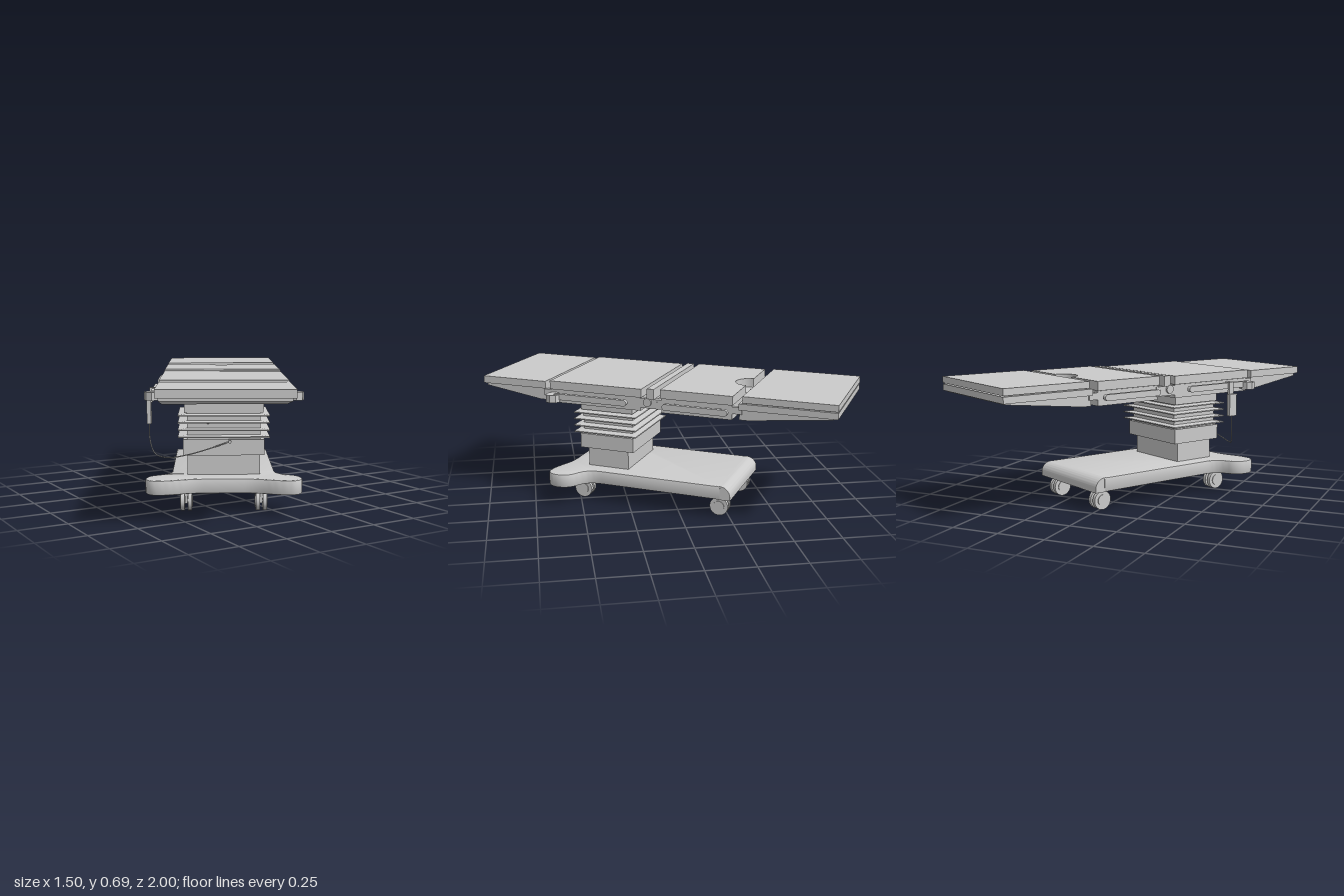
import * as THREE from 'three';
import { toCreasedNormals } from 'three/addons/utils/BufferGeometryUtils.js';

export function createModel() {
  const model = new THREE.Group();
  model.name = 'operatingTable';
  const table = new THREE.Group();
  table.name = 'turnedTable';
  table.rotation.y = -0.513;
  model.add(table);

  const mat = new THREE.MeshStandardMaterial({ color: 0xcccccc });
  const flat = new THREE.MeshStandardMaterial({ color: 0xcccccc, flatShading: true });

  const add = (name, geo, material = mat, parent = table) => {
    const m = new THREE.Mesh(geo, material);
    m.name = name;
    parent.add(m);
    return m;
  };
  // Box given by its limits on each axis
  const box = (name, x0, x1, y0, y1, z0, z1) => {
    const g = new THREE.BoxGeometry(x1 - x0, y1 - y0, z1 - z0);
    g.translate((x0 + x1) / 2, (y0 + y1) / 2, (z0 + z1) / 2);
    return add(name, g);
  };
  // Plan outline (x, z) extruded between two heights
  const slab = (name, shape, y0, y1, bevel = 0) => {
    const g = new THREE.ExtrudeGeometry(shape, {
      depth: y1 - y0 - 2 * bevel, bevelEnabled: bevel > 0, bevelSize: bevel,
      bevelThickness: bevel, bevelOffset: -bevel, bevelSegments: 2, curveSegments: 12,
    });
    g.rotateX(Math.PI / 2);
    g.translate(0, y1 - bevel, 0);
    return add(name, toCreasedNormals(g, 0.6));
  };
  // Side outline (z, y) extruded across the width
  const across = (name, shape, halfWidth) => {
    const g = new THREE.ExtrudeGeometry(shape, { depth: 2 * halfWidth, bevelEnabled: false, curveSegments: 10 });
    g.translate(0, 0, -halfWidth);
    g.rotateY(-Math.PI / 2);
    return add(name, toCreasedNormals(g, 0.6));
  };
  const polygon = (pts) => new THREE.Shape(pts.map(([x, y]) => new THREE.Vector2(x, y)));
  const rod = (name, r, length, x, y, z, sides = 16) => {
    const g = new THREE.CylinderGeometry(r, r, length, sides);
    g.rotateZ(Math.PI / 2);
    g.translate(x, y, z);
    return add(name, toCreasedNormals(g, 0.6));
  };

  // Base: body with two splayed legs and a rolled far end
  const plan = new THREE.Shape();
  plan.moveTo(-0.265, -0.37);
  plan.lineTo(0.265, -0.37);
  plan.lineTo(0.265, 0.3);
  plan.bezierCurveTo(0.265, 0.38, 0.3, 0.4, 0.35, 0.425);
  plan.bezierCurveTo(0.41, 0.46, 0.405, 0.575, 0.33, 0.575);
  plan.bezierCurveTo(0.24, 0.575, 0.2, 0.525, 0.1, 0.525);
  plan.lineTo(-0.1, 0.525);
  plan.bezierCurveTo(-0.2, 0.525, -0.24, 0.575, -0.33, 0.575);
  plan.bezierCurveTo(-0.405, 0.575, -0.41, 0.46, -0.35, 0.425);
  plan.bezierCurveTo(-0.3, 0.4, -0.265, 0.38, -0.265, 0.3);
  plan.closePath();
  slab('base', plan, 0.105, 0.18, 0.008);
  const roll = new THREE.Shape();
  roll.moveTo(-0.35, 0.105);
  roll.lineTo(-0.35, 0.179);
  roll.lineTo(-0.37, 0.179);
  roll.absarc(-0.37, 0.124, 0.055, Math.PI / 2, Math.PI, false);
  roll.lineTo(-0.425, 0.105);
  roll.closePath();
  across('baseRolledEnd', roll, 0.262);

  // Twin-wheel casters
  for (const x of [-0.19, 0.19]) for (const z of [0.434, -0.352]) {
    for (const s of [-1, 1]) {
      rod('casterWheel', 0.05, 0.02, x + s * 0.018, 0.05, z, 24);
      rod('casterHub', 0.03, 0.004, x + s * 0.03, 0.05, z, 20);
    }
    rod('casterAxle', 0.012, 0.04, x, 0.05, z);
    box('casterFork', x - 0.007, x + 0.007, 0.04, 0.095, z - 0.025, z + 0.025);
    const stem = new THREE.CylinderGeometry(0.02, 0.02, 0.03, 16);
    stem.translate(x, 0.093, z);
    add('casterStem', stem);
  }

  // Telescopic column with bellows
  const cz = 0.293;
  box('columnLower', -0.184, 0.184, 0.17, 0.29, cz - 0.117, cz + 0.117);
  box('columnCollar', -0.205, 0.205, 0.285, 0.365, cz - 0.155, cz + 0.155);
  box('columnHead', -0.2, 0.2, 0.5, 0.565, cz - 0.15, cz + 0.15);
  const profile = [[0.8, 0.36]];
  for (const y of [0.38, 0.415, 0.452, 0.488]) {
    profile.push([0.8, y - 0.008], [1, y - 0.003], [1, y + 0.003], [0.8, y + 0.008]);
  }
  profile.push([0.8, 0.505]);
  const bellows = new THREE.LatheGeometry(
    profile.map(([f, y]) => new THREE.Vector2(f * Math.SQRT2, y)), 4, Math.PI / 4);
  bellows.scale(0.23, 1, 0.18);
  bellows.translate(0, 0, cz);
  add('bellows', bellows, flat);

  // Cushions
  const W = 0.316;
  box('legCushion', -W, W, 0.63, 0.669, 0.593, 0.969);
  box('seatCushion', -W, W, 0.63, 0.675, 0.043, 0.566);
  box('headCushion', -W, W, 0.652, 0.686, -0.969, -0.494);
  const back = new THREE.Shape();
  back.moveTo(-W, -0.445);
  back.lineTo(-0.075, -0.445);
  back.absarc(0, -0.445, 0.075, Math.PI, 0, true);
  back.lineTo(W, -0.445);
  back.lineTo(W, -0.06);
  back.lineTo(-W, -0.06);
  back.closePath();
  slab('backCushion', back, 0.635, 0.682);

  // Frames under the cushions
  box('seatFrame', -0.308, 0.308, 0.558, 0.628, 0.05, 0.56);
  box('backFrame', -0.308, 0.308, 0.558, 0.633, -0.44, -0.065);
  box('headPlate', -W, W, 0.614, 0.647, -0.969, -0.476);
  box('headPad', -0.3, 0.3, 0.645, 0.654, -0.95, -0.5);
  across('headWedge', polygon([[-0.955, 0.616], [-0.955, 0.608], [-0.52, 0.56], [-0.476, 0.56], [-0.476, 0.616]]), 0.3);
  across('legWedge', polygon([[0.955, 0.632], [0.955, 0.615], [0.63, 0.565], [0.595, 0.565], [0.595, 0.632]]), 0.3);

  // Cross bar in the middle joint
  box('jointBar', -W, W, 0.625, 0.68, -0.026, 0.012);
  rod('jointRod', 0.008, 0.62, 0, 0.605, -0.042);

  // Side fittings, mirrored
  for (const s of [-1, 1]) {
    for (const [z0, z1] of [[-0.43, -0.085], [0.11, 0.53]]) {
      // Accessory rail with rounded ends
      const r = 0.016;
      const outline = new THREE.Shape();
      outline.absarc(z1 - r, 0.603, r, -Math.PI / 2, Math.PI / 2, false);
      outline.absarc(z0 + r, 0.603, r, Math.PI / 2, Math.PI * 1.5, false);
      outline.closePath();
      across('sideRail', outline, 0.011).position.x = s * 0.348;
      for (const z of [z0 + 0.05, z1 - 0.05]) rod('railStandoff', 0.009, 0.04, s * 0.322, 0.603, z);
    }
    // Joint links and pivots
    box('headLink', s * 0.295 - 0.012, s * 0.295 + 0.012, 0.59, 0.625, -0.49, -0.43);
    box('legLink', s * 0.295 - 0.012, s * 0.295 + 0.012, 0.59, 0.625, 0.55, 0.605);
    box('middleLink', s * 0.295 - 0.014, s * 0.295 + 0.014, 0.575, 0.625, -0.075, 0.06);
    rod('middlePivot', 0.022, 0.02, s * 0.31, 0.608, 0.01, 20);
    // Clamp at the end of the seat rail
    const knob = new THREE.CylinderGeometry(0.04, 0.04, 0.04, 8);
    knob.translate(s * 0.352, 0.595, 0.53);
    add('railClamp', knob, flat);
  }

  // Hand control on its hook with a cable to the column
  box('handControl', -0.387, -0.365, 0.44, 0.56, 0.37, 0.42);
  box('handControlHook', -0.372, -0.358, 0.55, 0.622, 0.38, 0.41);
  box('handControlHookTop', -0.372, -0.335, 0.618, 0.624, 0.38, 0.41);
  const path = new THREE.CatmullRomCurve3([
    [-0.376, 0.445, 0.395], [-0.372, 0.35, 0.4], [-0.345, 0.29, 0.425], [-0.28, 0.277, 0.465],
    [-0.18, 0.295, 0.485], [-0.07, 0.325, 0.478], [0.03, 0.355, 0.448],
  ].map((p) => new THREE.Vector3(...p)));
  add('cable', new THREE.TubeGeometry(path, 60, 0.003, 8));
  const plug = new THREE.CylinderGeometry(0.008, 0.008, 0.02, 12);
  plug.rotateX(Math.PI / 2);
  plug.translate(0.03, 0.355, 0.452);
  add('cablePlug', plug);

  return model;
}
